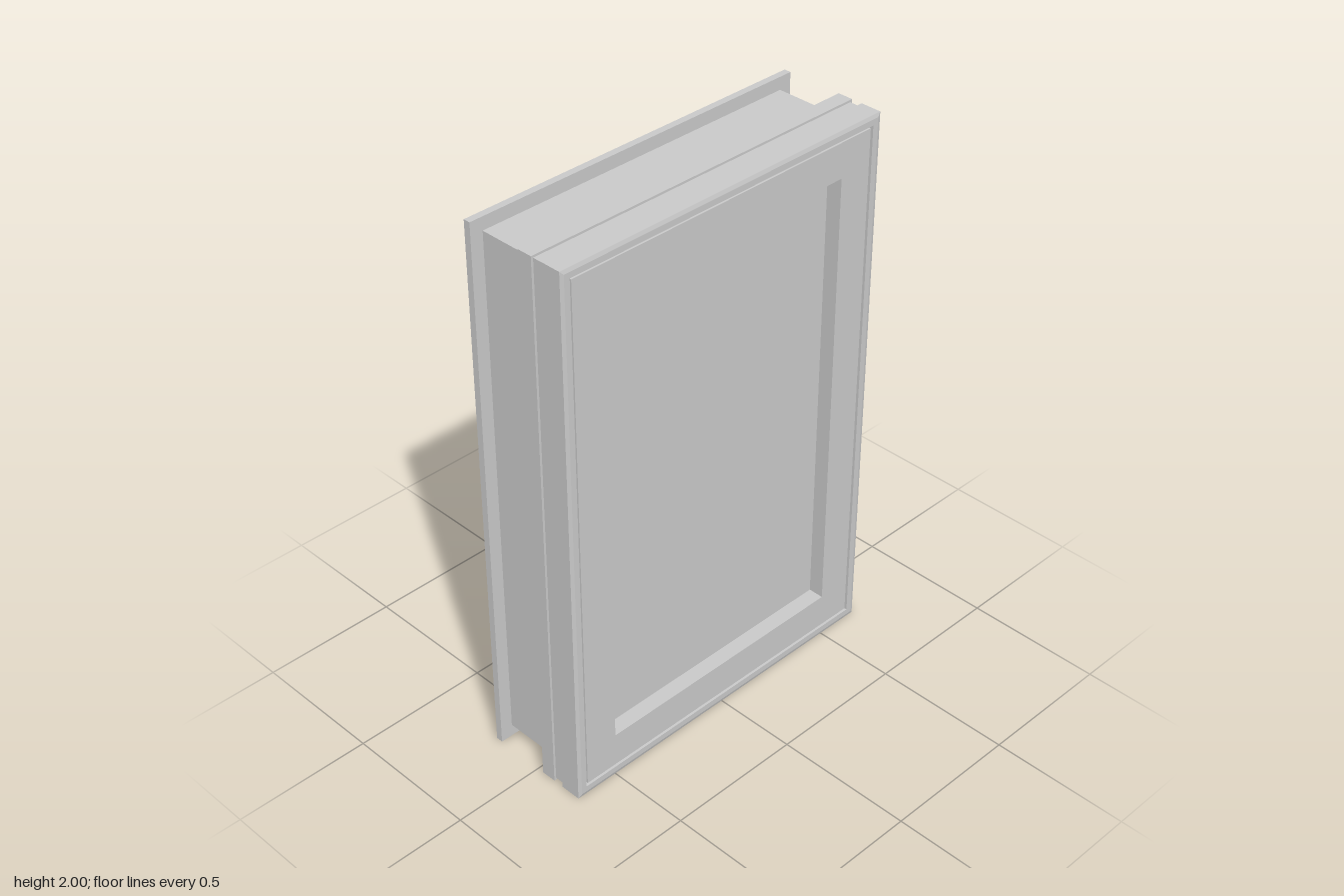
import * as THREE from 'three';

const HALF_W = 0.665, HEIGHT = 2;

// Corners of the window rectangle, moved inwards by inset, at depth z
function corners([inset, z]) {
  const x = HALF_W - inset, top = HEIGHT - inset;
  return [[-x, inset, z], [x, inset, z], [x, top, z], [-x, top, z]];
}

// Mitred rectangular ring swept from a closed profile of [inset, z] points
// (ordered: outer face back to front, front face inwards, inner face back)
function ring(name, profile, material) {
  const pos = [];
  profile.forEach((p, i) => {
    const a = corners(p), b = corners(profile[(i + 1) % profile.length]);
    for (let k = 0; k < 4; k++) {
      const n = (k + 1) % 4;
      pos.push(...a[k], ...a[n], ...b[n], ...a[k], ...b[n], ...b[k]);
    }
  });
  const geometry = new THREE.BufferGeometry();
  geometry.setAttribute('position', new THREE.Float32BufferAttribute(pos, 3));
  geometry.computeVertexNormals();
  const mesh = new THREE.Mesh(geometry, material);
  mesh.name = name;
  return mesh;
}

// Plain rectangular bar profile
const bar = (outer, inner, back, front) =>
  [[outer, back], [outer, front], [inner, front], [inner, back]];

export function createModel() {
  const group = new THREE.Group();
  group.name = 'window';
  const grey = new THREE.MeshStandardMaterial({ color: 0xc8c8c8 });
  grey.name = 'light grey';

  // Flange and lining behind the frame, open through the middle
  group.add(ring('rearCasing', [
    [0.046, 0.03], [0.06, 0.03], [0.06, -0.205], [0, -0.205], [0, -0.18], [0.046, -0.18],
  ], grey));

  // Outer frame: grooved edge, bevelled front and a rebate that holds the sash
  group.add(ring('outerFrame', [
    [0, 0.025], [0, 0.08], [0.008, 0.08], [0.008, 0.12], [0, 0.12], [0, 0.196],
    [0.013, 0.2], [0.034, 0.2], [0.034, 0.07], [0.12, 0.07], [0.12, 0.04],
    [0.058, 0.04], [0.058, 0.025],
  ], grey));

  // Sash, separated from the frame by a narrow gap
  group.add(ring('sash', bar(0.042, 0.168, 0.075, 0.197), grey));

  // Pane set back in the sash
  const pane = new THREE.Mesh(
    new THREE.BoxGeometry(2 * (HALF_W - 0.16), HEIGHT - 0.32, 0.02), grey);
  pane.name = 'pane';
  pane.position.set(0, HEIGHT / 2, 0.13);
  group.add(pane);

  return group;
}
